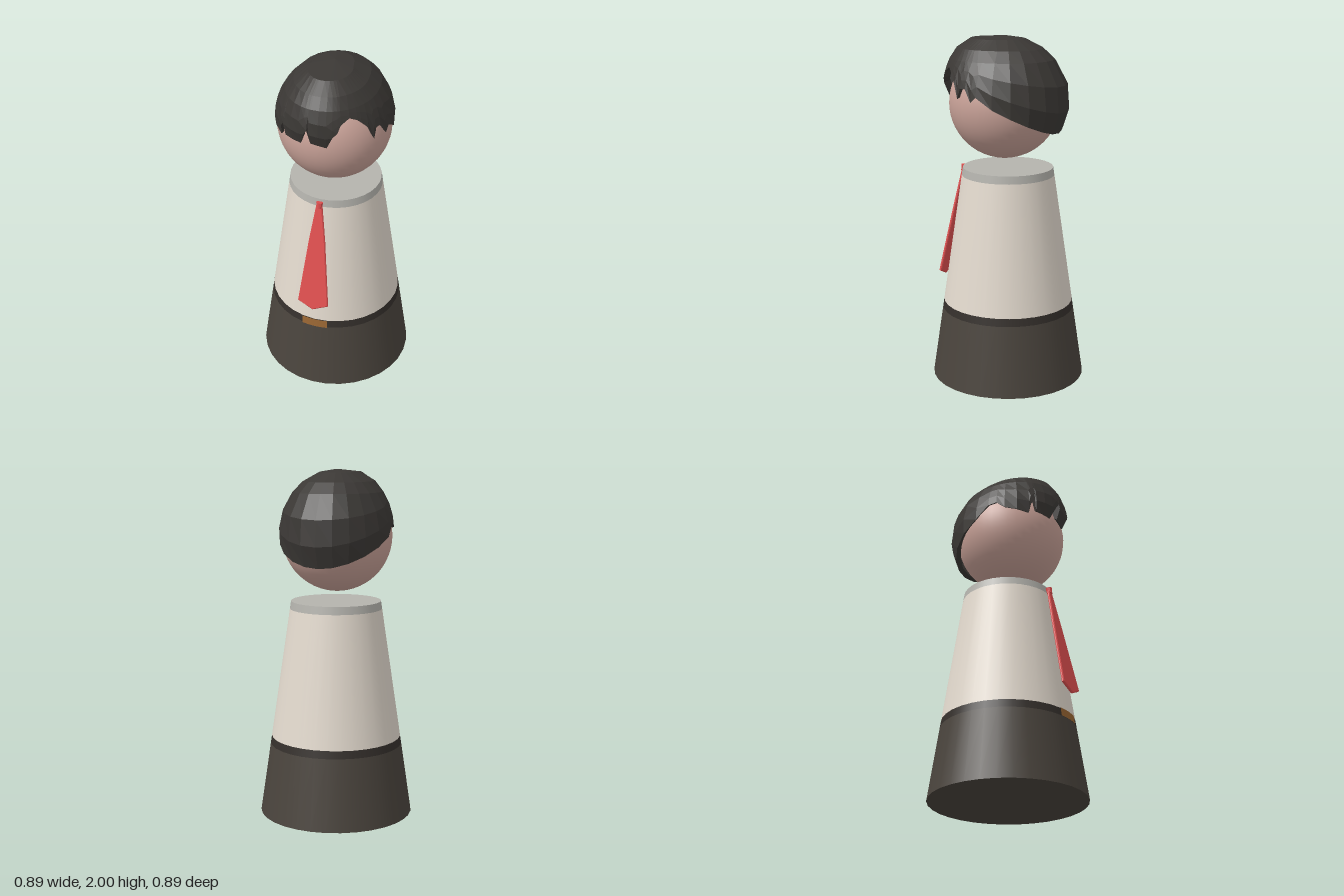
import * as THREE from 'three';

const mat = (color, extra = {}) => {
  const m = new THREE.MeshStandardMaterial({ color, ...extra });
  return m;
};

function add(group, name, geometry, material) {
  const mesh = new THREE.Mesh(geometry, material);
  mesh.name = name;
  group.add(mesh);
  return mesh;
}

// Radius of the conical body at height y
const bodyRadius = (y) => 0.445 - 0.185 * (y / 1.25);

// Slice of the conical body between two heights
function band(group, name, y0, y1, color) {
  const geo = new THREE.CylinderGeometry(bodyRadius(y1), bodyRadius(y0), y1 - y0, 32);
  add(group, name, geo, mat(color)).position.y = (y0 + y1) / 2;
}

// Lower hair edge at the front: [azimuth in degrees from +z towards +x, height]
const fringe = [
  [-84, 1.7], [-76, 1.71], [-68, 1.67], [-56, 1.655], [-44, 1.64], [-42, 1.7], [-38, 1.73], [-36, 1.66],
  [-26, 1.655], [-16, 1.65], [-10, 1.73], [-6, 1.76], [-4, 1.67], [5, 1.66], [13, 1.65], [19, 1.73],
  [24, 1.76], [27, 1.8], [36, 1.83], [44, 1.81], [48, 1.79], [55, 1.75], [61, 1.67], [64, 1.73],
  [70, 1.73], [77, 1.66], [82, 1.69],
];

// Point on the hair shell; the front bulges forward and the fringe curls back in
function hairPoint(az, polar, scale = 1) {
  const w = Math.max(0, Math.cos(az));
  const y = 1.64 + 0.36 * Math.cos(polar);
  const r = Math.pow(Math.max(0, Math.sin(polar)), 1 - 0.5 * w)
    * (1 - 1.2 * w ** 3 * Math.max(0, 1.75 - y)) * scale;
  return [0.325 * r * Math.sin(az), y, 0.015 + 0.368 * r * Math.cos(az)];
}

function hairGeometry() {
  // Columns: jagged fringe in front, a straight sloping edge round the back
  const columns = fringe.map(([a, y]) => [THREE.MathUtils.degToRad(a), y]);
  for (let a = 97; a < 275; a += 16.6) {
    const az = THREE.MathUtils.degToRad(a);
    const z = 0.015 + 0.365 * Math.cos(az);
    columns.push([az, 1.48 + 0.51 * (z + 0.32)]);
  }
  const shared = [0, 18, 36, 50].map(THREE.MathUtils.degToRad);
  const positions = [];
  for (const [az, y] of columns) {
    const end = Math.acos((y - 1.64) / 0.36);
    const last = shared[3];
    for (const p of shared) positions.push(...hairPoint(az, p));
    for (const t of [0.36, 0.7, 1]) positions.push(...hairPoint(az, last + (end - last) * t));
    // rim tucked in towards the head
    positions.push(...hairPoint(az, end - 0.04, 0.9));
  }
  const rows = 8;
  const index = [];
  columns.forEach((_, i) => {
    const a0 = i * rows;
    const b0 = ((i + 1) % columns.length) * rows;
    for (let j = 0; j < rows - 1; j++) {
      if (j > 0) index.push(a0 + j, b0 + j + 1, b0 + j);
      index.push(a0 + j, a0 + j + 1, b0 + j + 1);
    }
  });
  const geo = new THREE.BufferGeometry();
  geo.setAttribute('position', new THREE.Float32BufferAttribute(positions, 3));
  geo.setIndex(index);
  geo.computeVertexNormals();
  return geo;
}

export function createModel() {
  const model = new THREE.Group();
  model.name = 'pegFigure';

  // Body
  band(model, 'trousers', 0, 0.41, 0x4a443d);
  band(model, 'belt', 0.41, 0.455, 0x35302c);
  band(model, 'shirt', 0.455, 1.205, 0xe3dace);
  band(model, 'collar', 1.205, 1.25, 0xb4b3ad);

  // Belt buckle, a curved plate just proud of the belt
  const buckle = new THREE.CylinderGeometry(bodyRadius(0.455) + 0.004, bodyRadius(0.408) + 0.004,
    0.047, 4, 1, true, -0.2, 0.4);
  add(model, 'beltBuckle', buckle, mat(0x986532, { side: THREE.DoubleSide })).position.y = 0.4315;

  // Tie, hanging at a slant away from the shirt
  const tie = new THREE.Group();
  tie.name = 'tie';
  tie.position.set(0, 1.22, 0.276);
  tie.rotation.x = -0.195;
  const outline = [[-0.012, 0], [-0.042, -0.22], [-0.086, -0.63], [0, -0.67], [0.086, -0.63], [0.042, -0.22], [0.012, 0]];
  const blade = new THREE.ExtrudeGeometry(new THREE.Shape(outline.map(([x, y]) => new THREE.Vector2(x, y))), {
    depth: 0.006, bevelEnabled: true, bevelSize: 0.005, bevelThickness: 0.005, bevelSegments: 1,
  });
  const red = mat(0xe05050, { flatShading: true });
  add(tie, 'tieBlade', blade, red).position.z = -0.003;
  add(tie, 'tieKnot', new THREE.CylinderGeometry(0.02, 0.016, 0.035, 8), red);
  model.add(tie);

  // Head and hair
  add(model, 'head', new THREE.SphereGeometry(0.316, 40, 28), mat(0xc9a298)).position.set(0, 1.621, 0.02);
  add(model, 'hair', hairGeometry(), mat(0x3b3835, { flatShading: true, side: THREE.DoubleSide }));

  return model;
}
